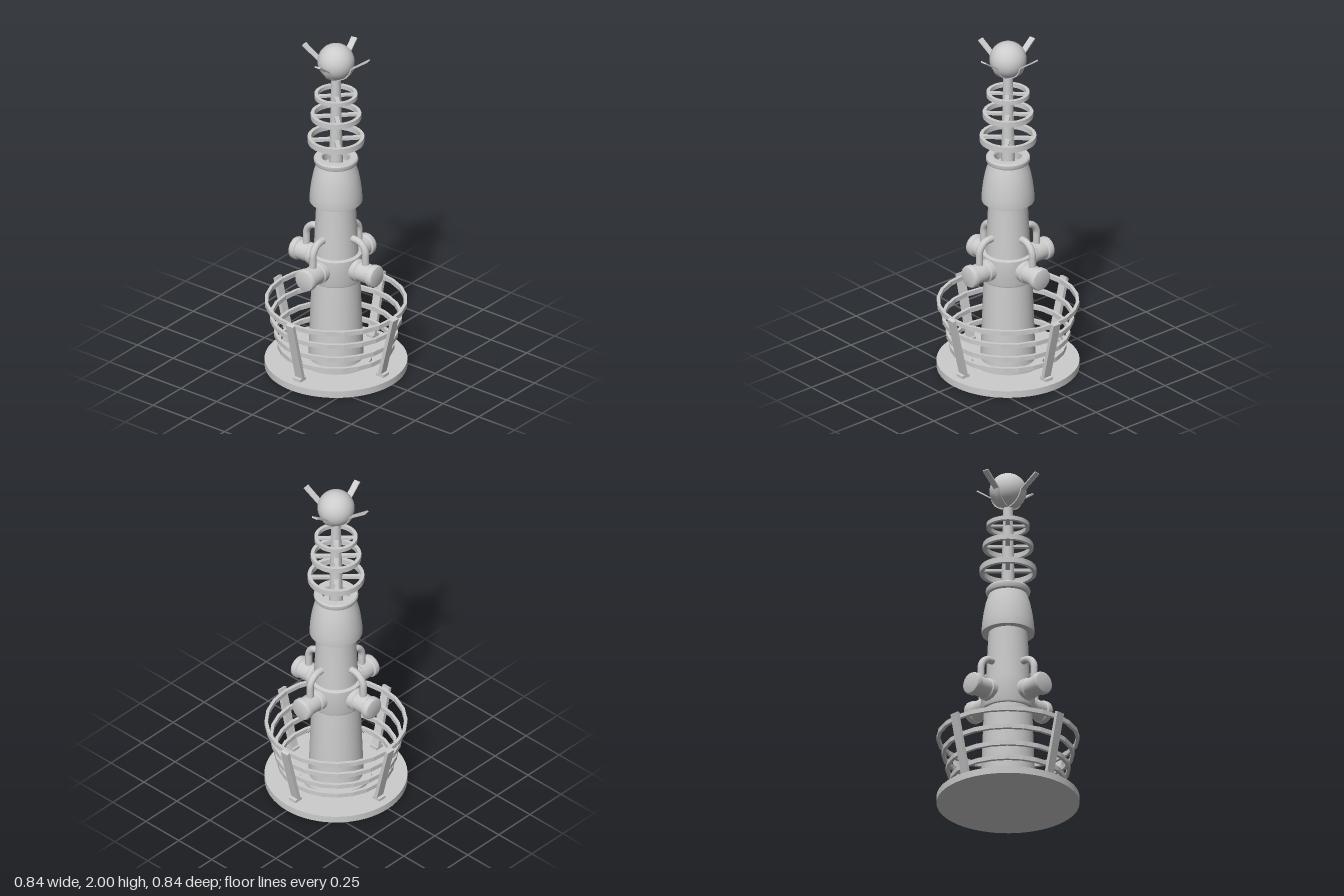
import * as THREE from 'three';
import { toCreasedNormals } from 'three/addons/utils/BufferGeometryUtils.js';

const material = new THREE.MeshStandardMaterial({ color: 0xcccccc });
const QUARTER = Math.PI / 2;

function add(parent, name, geometry) {
  const mesh = new THREE.Mesh(geometry, material);
  mesh.name = name;
  parent.add(mesh);
  return mesh;
}

// Turned solid from [radius, height] pairs, listed from bottom to top
function turned(points, segments = 40, crease = 0.5) {
  const profile = points.map(([r, y]) => new THREE.Vector2(r, y));
  return toCreasedNormals(new THREE.LatheGeometry(profile, segments), crease);
}

// Flat hoop with a rectangular section
function hoop(inner, outer, y, height, segments, crease) {
  const a = y - height / 2, b = y + height / 2;
  return turned([[inner, a], [outer, a], [outer, b], [inner, b], [inner, a]], segments, crease);
}

// Four copies of a part around the vertical axis; each is built pointing to +x
function aroundAxis(parent, name, build, offset = 0) {
  for (let i = 0; i < 4; i++) {
    const arm = new THREE.Group();
    arm.name = name + (i + 1);
    arm.rotation.y = i * QUARTER + offset;
    build(arm);
    parent.add(arm);
  }
}

// Strip of given width along z, with an outline drawn in the xy plane
function strip(outline, width) {
  const shape = new THREE.Shape(outline.map(([x, y]) => new THREE.Vector2(x, y)));
  const geometry = new THREE.ExtrudeGeometry(shape, { depth: width, bevelEnabled: false });
  return toCreasedNormals(geometry.translate(0, 0, -width / 2), 0.5);
}

export function createModel() {
  const model = new THREE.Group();
  model.name = 'beaconTower';

  // Base and column
  add(model, 'baseDisc', turned([[0, 0], [0.395, 0], [0.395, 0.04], [0, 0.04]], 64));
  add(model, 'columnFlange', turned([[0, 0.04], [0.2, 0.04], [0.2, 0.058], [0, 0.058]], 48));
  add(model, 'column', turned([[0, 0.05], [0.153, 0.05], [0.134, 0.57], [0.124, 0.71], [0.108, 1.04], [0, 1.04]]));
  add(model, 'collar', turned([[0.12, 0.555], [0.148, 0.555], [0.152, 0.565], [0.146, 0.71], [0.122, 0.715]]));

  // Bell-shaped cap with an open rim
  add(model, 'cap', turned([
    [0.1, 1.03], [0.146, 1.03], [0.147, 1.04], [0.144, 1.09], [0.136, 1.15], [0.124, 1.21], [0.107, 1.262],
    [0.118, 1.268], [0.123, 1.28], [0.123, 1.295], [0.117, 1.303], [0.08, 1.303], [0.075, 1.295], [0.075, 1.25], [0, 1.25],
  ]));

  // Mast with spoked hoops
  add(model, 'mast', turned([[0, 1.24], [0.039, 1.24], [0.026, 1.83], [0, 1.83]], 24));
  for (const [y, r, h] of [[1.413, 0.157, 0.034], [1.56, 0.14, 0.03], [1.685, 0.12, 0.024]]) {
    const ring = new THREE.Group();
    ring.name = 'mastRing';
    add(ring, 'hoop', hoop(r - 0.02, r, y, h, 40));
    aroundAxis(ring, 'spoke', (arm) => {
      const length = r - 0.03;
      add(arm, 'spokeBar', new THREE.BoxGeometry(length, h * 0.5, 0.024)).position.set(0.02 + length / 2, y, 0);
    }, Math.PI / 4);
    model.add(ring);
  }

  // Ball on top, gripped by four upswept blades
  add(model, 'ball', new THREE.SphereGeometry(0.103, 40, 28)).position.y = 1.897;
  const inner = [], outer = [];
  for (let i = 0; i <= 6; i++) {
    const t = 0.15 + (i / 6) * 1.25;
    inner.push([0.1 * Math.sin(t), 1.897 - 0.1 * Math.cos(t)]);
    outer.push([0.108 * Math.sin(t), 1.897 - 0.108 * Math.cos(t)]);
  }
  const blade = [...outer, [0.207, 1.95], [0.202, 1.957], ...inner.reverse()];
  aroundAxis(model, 'blade', (arm) => add(arm, 'bladeStrip', strip(blade, 0.036)), 0.14);

  // Lamps on the collar, each with a pipe back to the column
  const lamp = turned([
    [0, 0.12], [0.063, 0.12], [0.063, 0.168], [0.056, 0.174], [0.056, 0.248], [0.064, 0.254],
    [0.065, 0.276], [0.06, 0.287], [0.05, 0.291], [0, 0.291],
  ], 28).rotateZ(-QUARTER);
  const pipePath = new THREE.CurvePath();
  const v = (x, y) => new THREE.Vector3(x, y, 0);
  pipePath.add(new THREE.LineCurve3(v(0.207, 0.66), v(0.207, 0.755)));
  pipePath.add(new THREE.CubicBezierCurve3(v(0.207, 0.755), v(0.207, 0.794), v(0.176, 0.825), v(0.137, 0.825)));
  pipePath.add(new THREE.LineCurve3(v(0.137, 0.825), v(0.1, 0.825)));
  const pipe = new THREE.TubeGeometry(pipePath, 28, 0.02, 14);
  aroundAxis(model, 'lamp', (arm) => {
    add(arm, 'lampBody', lamp).position.y = 0.64;
    add(arm, 'pipe', pipe);
  });

  // Flared railing: faceted hoops on four leaning posts
  for (const [y, r] of [[0.132, 0.325], [0.21, 0.345], [0.302, 0.367], [0.397, 0.395]]) {
    add(model, 'railHoop', hoop(r - 0.018, r, y, 0.026, 24, 0.1));
  }
  const post = strip([[0.3, 0.04], [0.352, 0.04], [0.352, 0.056], [0.335, 0.058], [0.419, 0.412], [0.4, 0.419], [0.312, 0.056], [0.3, 0.056]], 0.05);
  aroundAxis(model, 'railPost', (arm) => add(arm, 'post', post));

  return model;
}
